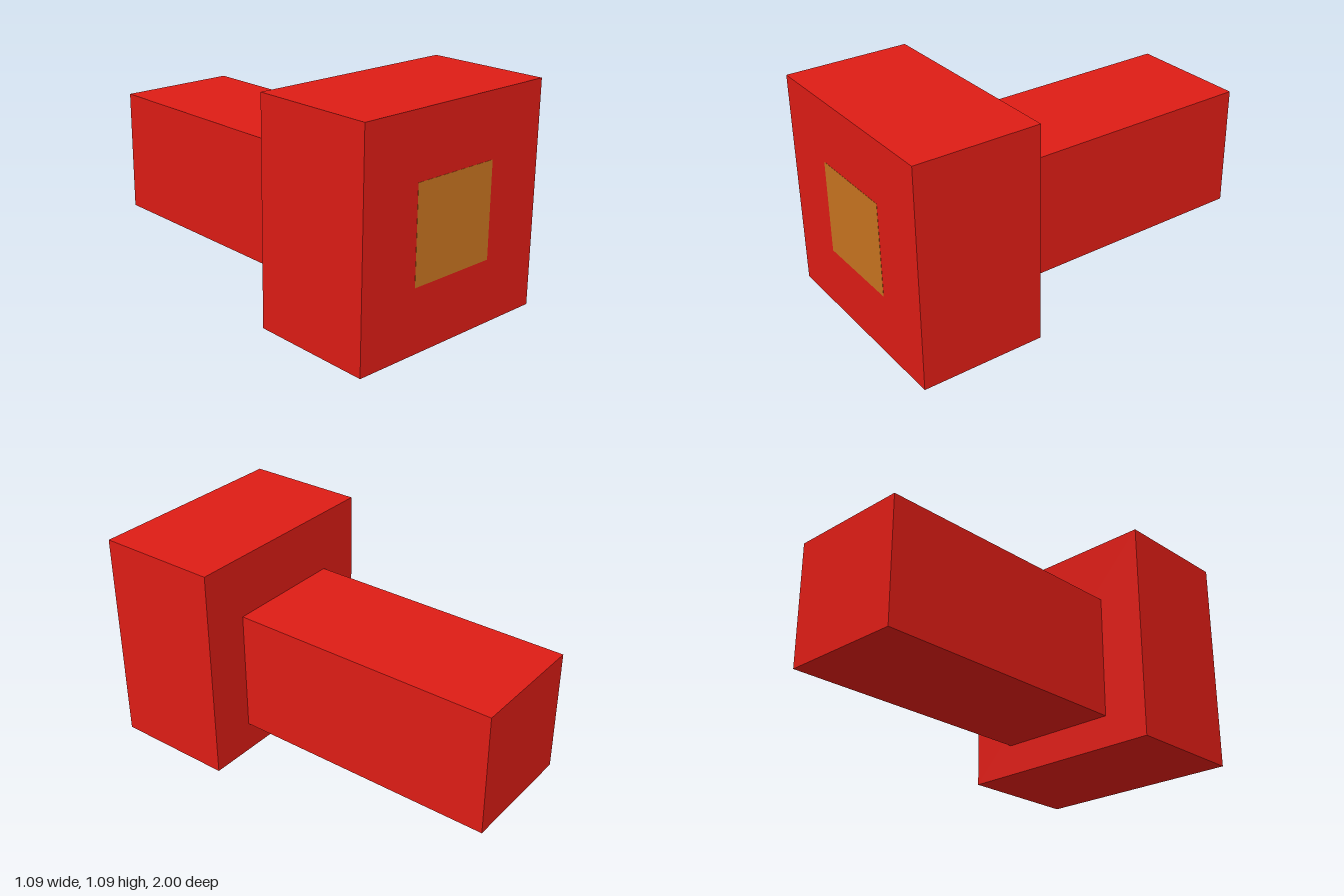
import * as THREE from 'three';

const red = new THREE.MeshStandardMaterial({ color: 0xdd1c15 });
const ochre = new THREE.MeshStandardMaterial({ color: 0xc87420 });

// Box given by its size and centre
function block(name, material, [w, h, d], [x, y, z]) {
  const mesh = new THREE.Mesh(new THREE.BoxGeometry(w, h, d), material);
  mesh.name = name;
  mesh.position.set(x, y, z);
  return mesh;
}

export function createModel() {
  const model = new THREE.Group();
  model.name = 'blockWithBeam';

  // Wide square head at the front
  model.add(block('head', red, [1.094, 1.094, 0.623], [0, 0.547, 0.6875]));

  // Long square beam running to the back
  model.add(block('beam', red, [0.624, 0.624, 1.376], [0, 0.469, -0.312]));

  // Thin square panel set almost flush in the front face
  model.add(block('frontPanel', ochre, [0.468, 0.468, 0.01], [0, 0.547, 0.995]));

  return model;
}
